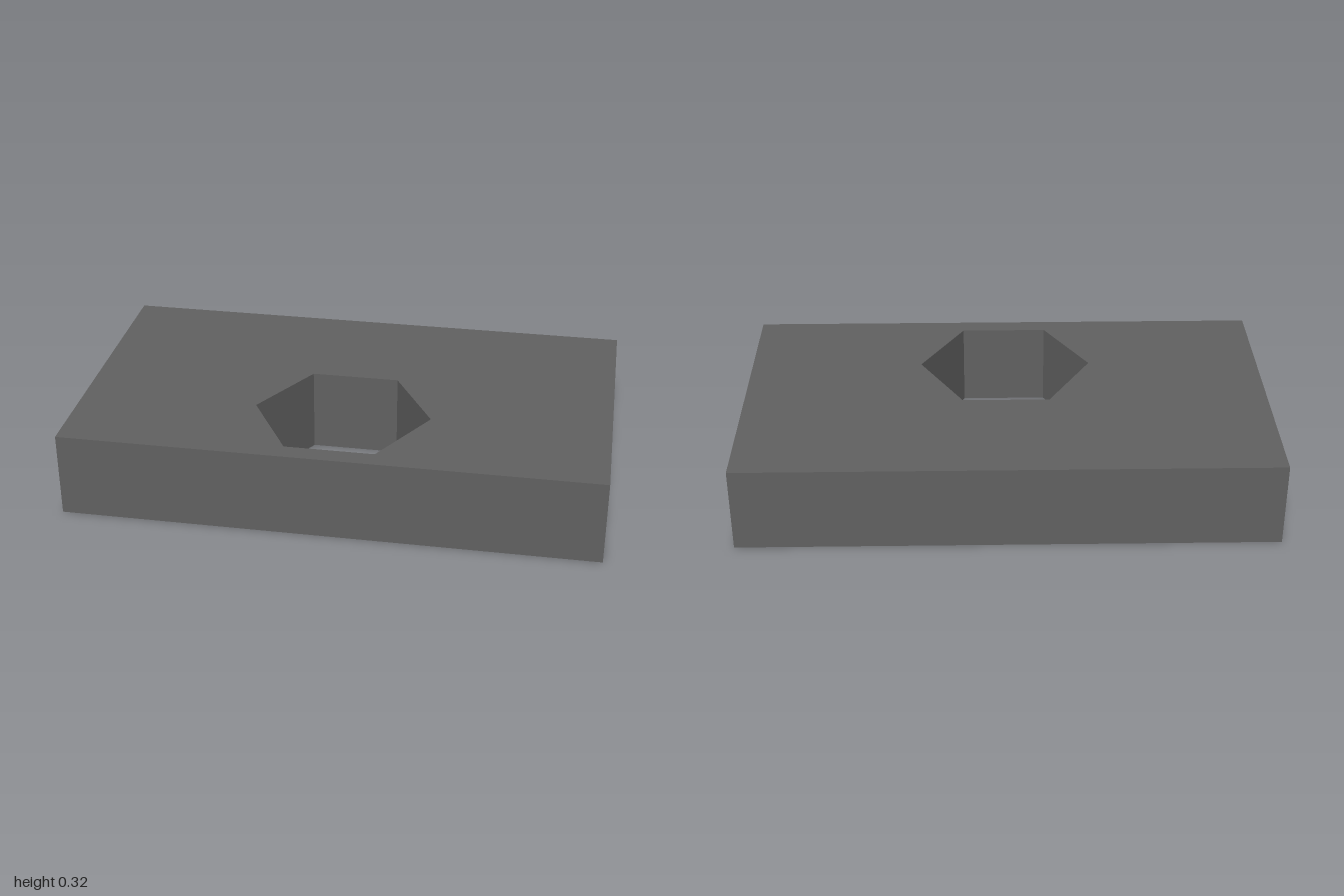
import * as THREE from 'three';
import { mergeGeometries, toCreasedNormals } from 'three/addons/utils/BufferGeometryUtils.js';

const L = 2, H = 0.322, W = 1.147;              // block length, height, depth
const HEX = { r: 0.332, z: 0.214 };             // hexagonal through opening
const BORE = { r: 0.092, depth: 0.35, y: 0.161, zs: [0.29, -0.287] };
const COLOR = 0x616161;

// Rectangle centred on the origin with round or polygonal holes [x, y, radius, sides]
function panel(w, h, holes = []) {
  const s = new THREE.Shape([[-1, -1], [1, -1], [1, 1], [-1, 1]]
    .map(([x, y]) => new THREE.Vector2(x * w / 2, y * h / 2)));
  for (const [cx, cy, r, n] of holes) {
    const pts = [];
    for (let i = 0; i < n; i++) {
      const a = -i / n * Math.PI * 2;
      pts.push(new THREE.Vector2(cx + r * Math.cos(a), cy + r * Math.sin(a)));
    }
    s.holes.push(new THREE.Path(pts));
  }
  return new THREE.ShapeGeometry(s);
}

export function createModel() {
  const group = new THREE.Group();
  const outer = new THREE.MeshStandardMaterial({ color: COLOR });
  const inner = new THREE.MeshStandardMaterial({ color: COLOR, side: THREE.DoubleSide });
  const add = (name, geo, mat) => {
    const mesh = new THREE.Mesh(geo, mat);
    mesh.name = name;
    group.add(mesh);
    return mesh;
  };
  const N = 48;
  const endHoles = side => BORE.zs.map(z => [-side * z, BORE.y - H / 2, BORE.r, N]);

  // Outer skin of the block, pierced on top, bottom and both ends
  const skin = [
    panel(L, W, [[0, -HEX.z, HEX.r, 6]]).rotateX(-Math.PI / 2).translate(0, H, 0),
    panel(L, W, [[0, HEX.z, HEX.r, 6]]).rotateX(Math.PI / 2),
    panel(L, H).translate(0, H / 2, W / 2),
    panel(L, H).rotateY(Math.PI).translate(0, H / 2, -W / 2),
  ];
  for (const side of [1, -1]) {
    skin.push(panel(W, H, endHoles(side)).rotateY(side * Math.PI / 2).translate(side * L / 2, H / 2, 0));
  }
  add('block', mergeGeometries(skin), outer);

  // Walls of the hexagonal opening, facing inward
  const hex = new THREE.LatheGeometry(
    [new THREE.Vector2(HEX.r, H), new THREE.Vector2(HEX.r, 0)], 6, Math.PI / 2);
  add('hexOpening', toCreasedNormals(hex, 0.5), inner).position.z = HEX.z;

  // Blind round bores in both ends: wall, then flat floor
  const profile = [[BORE.r, 0], [BORE.r, -BORE.depth], [0, -BORE.depth]]
    .map(([x, y]) => new THREE.Vector2(x, y));
  const bore = toCreasedNormals(new THREE.LatheGeometry(profile, N, Math.PI / 2), 0.6);
  for (const side of [1, -1]) {
    for (const z of BORE.zs) {
      const mesh = add(side > 0 ? 'leftBore' : 'rightBore', bore, inner);
      mesh.rotation.z = -side * Math.PI / 2;
      mesh.position.set(side * L / 2, BORE.y, z);
    }
  }
  return group;
}
